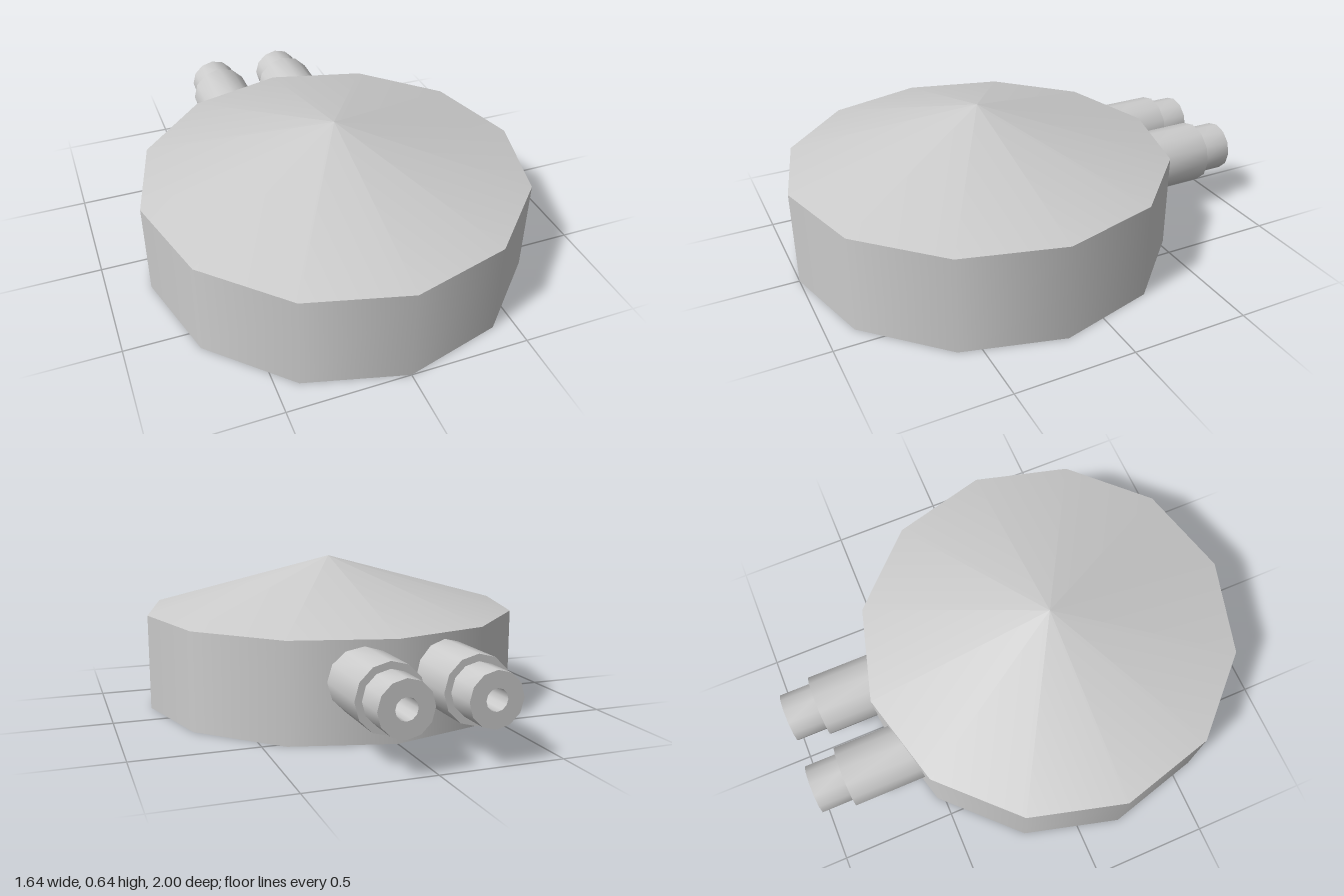
import * as THREE from 'three';
import { toCreasedNormals } from 'three/addons/utils/BufferGeometryUtils.js';

const SIDES = 12;
const RADIUS = 0.82;
const WALL = 0.41;
const ROOF = 0.23;
const CENTRE_Z = 0.18;

export function createModel() {
  const model = new THREE.Group();
  const material = new THREE.MeshStandardMaterial({ color: 0xcccccc, side: THREE.DoubleSide });

  const add = (name, geometry, x, y, z) => {
    const mesh = new THREE.Mesh(geometry, material);
    mesh.name = name;
    mesh.position.set(x, y, z);
    model.add(mesh);
  };

  // Twelve-sided drum wall, open underneath
  add('drumWall', new THREE.CylinderGeometry(RADIUS, RADIUS, WALL, SIDES, 1, true), 0, WALL / 2, CENTRE_Z);

  // Shallow conical lid, open so its underside shows from below
  add('conicalLid', new THREE.ConeGeometry(RADIUS, ROOF, SIDES, 1, true), 0, WALL + ROOF / 2, CENTRE_Z);

  // Stepped, bored pipe: radius against distance towards the back
  const profile = [
    [0.136, 0.53], [0.136, 0.86], [0.108, 0.86], [0.108, 1], [0.043, 1], [0.043, 0.53],
  ].map(([r, d]) => new THREE.Vector2(r, d));
  const pipe = toCreasedNormals(new THREE.LatheGeometry(profile, SIDES).rotateX(-Math.PI / 2), 0.8);

  // Pair of pipes at the back, set slightly off centre
  add('rightPipe', pipe, -0.218, 0.248, 0);
  add('leftPipe', pipe, 0.125, 0.248, 0);

  return model;
}
